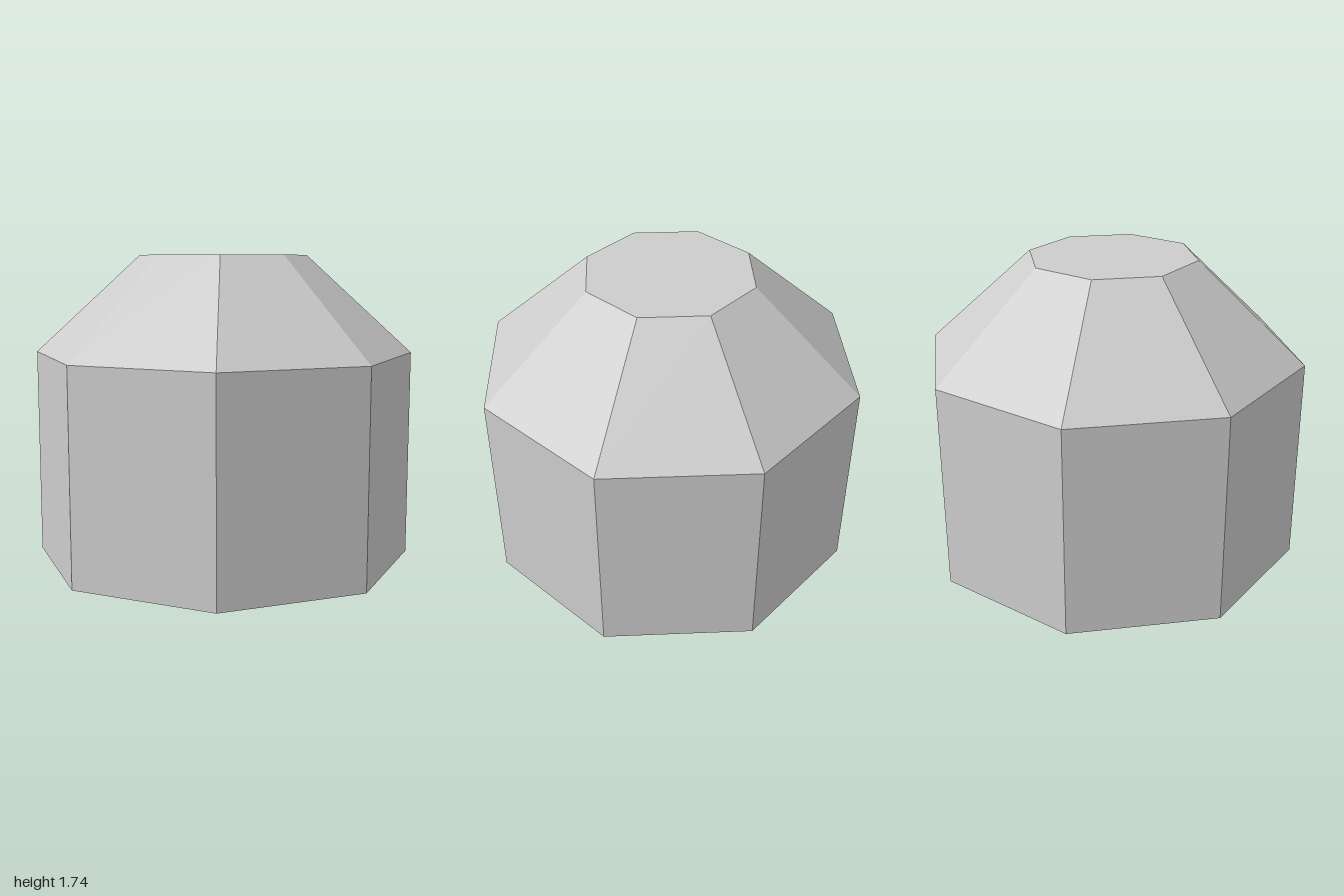
import * as THREE from 'three';

const SIDES = 8;
const TURN = Math.PI / SIDES; // flat sides face the axes
const WALL_TOP = 1.18;
const ROOF_TOP = 1.735;

// Corner radius of an octagon from its centre-to-side distance
const corner = (apothem) => apothem / Math.cos(TURN);

export function createModel() {
  const group = new THREE.Group();
  const grey = new THREE.MeshStandardMaterial({ color: 0xcccccc });
  grey.name = 'lightGrey';
  grey.flatShading = true;
  grey.side = THREE.DoubleSide;

  const add = (name, geometry, y) => {
    const mesh = new THREE.Mesh(geometry, grey);
    mesh.name = name;
    mesh.position.y = y;
    group.add(mesh);
  };

  // Open octagonal ring between two heights
  const ring = (name, bottom, top, y0, y1) =>
    add(name, new THREE.CylinderGeometry(corner(top), corner(bottom), y1 - y0, SIDES, 1, true, TURN), (y0 + y1) / 2);

  // Thin upright walls, open underneath
  ring('walls', 1, 1, 0, WALL_TOP);

  // Sloping roof
  ring('roofSlope', 1, 0.44, WALL_TOP, ROOF_TOP);

  // Flat octagonal top
  const cap = new THREE.CircleGeometry(corner(0.44), SIDES, TURN);
  cap.rotateX(-Math.PI / 2);
  add('roofTop', cap, ROOF_TOP);

  return group;
}
